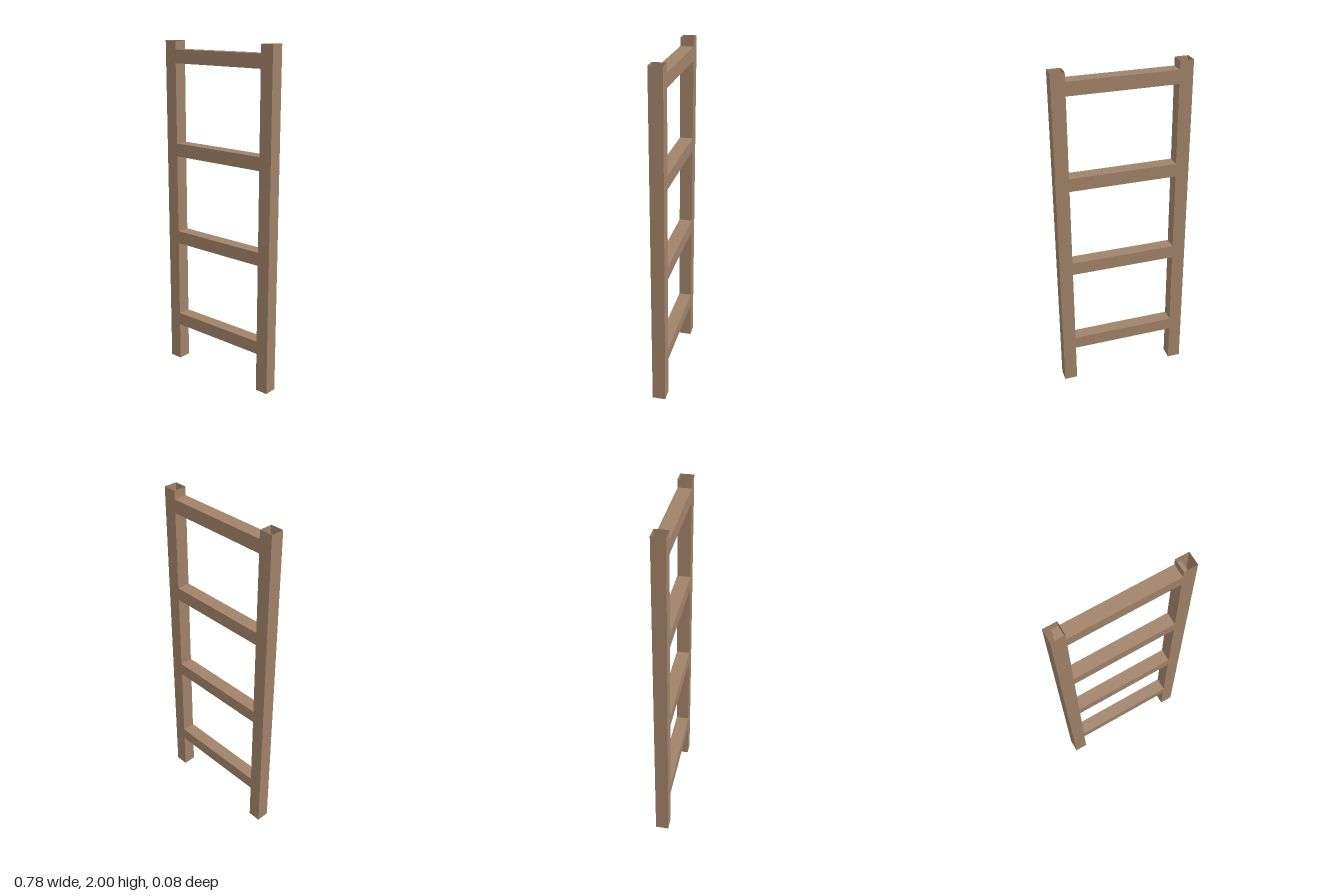
import * as THREE from 'three';

const THICKNESS = 0.078; // square section of every beam
const RAIL_X = 0.351;    // rail centre line
const HEIGHT = 2;

// Open-ended square tube standing along y
function beam(length) {
  const r = (THICKNESS / 2) * Math.SQRT2;
  const tube = new THREE.CylinderGeometry(r, r, length, 4, 1, true);
  tube.rotateY(Math.PI / 4);
  const geometry = tube.toNonIndexed();
  geometry.computeVertexNormals();
  return geometry;
}

export function createModel() {
  const ladder = new THREE.Group();
  ladder.name = 'ladder';

  const wood = new THREE.MeshStandardMaterial({
    color: 0xa08268,
    flatShading: true,
    side: THREE.DoubleSide,
  });

  // Side rails, hollow and open at both ends
  const railGeometry = beam(HEIGHT);
  for (const [name, side] of [['leftRail', 1], ['rightRail', -1]]) {
    const rail = new THREE.Mesh(railGeometry, wood);
    rail.name = name;
    rail.position.set(side * RAIL_X, HEIGHT / 2, 0);
    ladder.add(rail);
  }

  // Rungs, reaching the centre line of each rail
  const rungGeometry = beam(RAIL_X * 2).rotateZ(Math.PI / 2);
  for (let i = 0; i < 4; i++) {
    const rung = new THREE.Mesh(rungGeometry, wood);
    rung.name = `rung${i + 1}`;
    rung.position.y = 0.274 + i * 0.546;
    ladder.add(rung);
  }

  return ladder;
}
